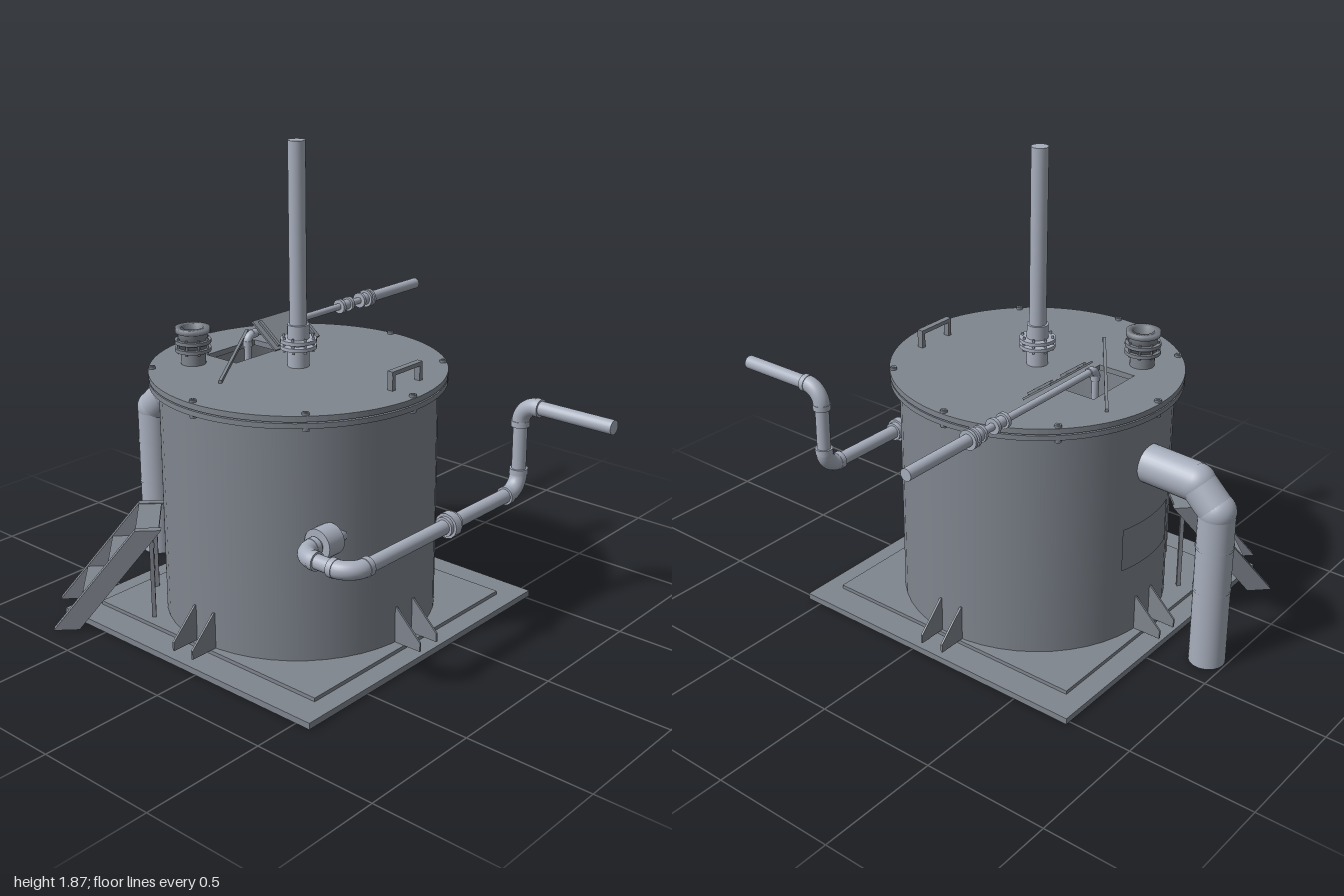
import * as THREE from 'three';

const paint = color => new THREE.MeshStandardMaterial({ color, side: THREE.DoubleSide });
const steel = paint(0x80868f), pipe = paint(0xa8afbd);
const V = (x, y, z) => new THREE.Vector3(x, y, z);
const UP = V(0, 1, 0);
const CX = -0.09, CZ = 0.14; // tank axis

// Groups carry the material used for their parts
function addGroup(parent, name, material, x = 0, z = 0) {
  const g = new THREE.Group();
  g.name = name;
  g.position.set(x, 0, z);
  g.userData.material = material;
  parent.add(g);
  return g;
}
function add(parent, name, geometry, x = 0, y = 0, z = 0) {
  const mesh = new THREE.Mesh(geometry, parent.userData.material);
  mesh.name = name;
  mesh.position.set(x, y, z);
  parent.add(mesh);
  return mesh;
}
const box = (p, name, w, h, d, x, y, z) => add(p, name, new THREE.BoxGeometry(w, h, d), x, y, z);

// Cylinder between two points
function rod(parent, name, a, b, r, open = false, sides = 24) {
  const dir = b.clone().sub(a);
  const mesh = add(parent, name, new THREE.CylinderGeometry(r, r, dir.length(), sides, 1, open));
  mesh.position.copy(a).add(b).multiplyScalar(0.5);
  mesh.quaternion.setFromUnitVectors(UP, dir.normalize());
}

// Straight pipe runs joined by thicker elbows with collars
function bentPipe(parent, name, points, r, elbowR, bend) {
  const toward = (a, b) => a.clone().lerp(b, Math.min(0.5, bend / a.distanceTo(b)));
  points.slice(1).forEach((p, i) => {
    const q = points[i];
    rod(parent, name, i ? toward(q, p) : q, i < points.length - 2 ? toward(p, q) : p, r);
  });
  for (let i = 1; i < points.length - 1; i++) {
    const p = points[i];
    const ends = [points[i - 1], points[i + 1]].map(q => q.clone().sub(p).normalize());
    const [a, b] = ends.map(d => p.clone().addScaledVector(d, bend));
    const curve = new THREE.CubicBezierCurve3(a, a.clone().lerp(p, 0.55), b.clone().lerp(p, 0.55), b);
    add(parent, name + 'Elbow', new THREE.TubeGeometry(curve, 16, elbowR, 24));
    [a, b].forEach((q, j) => rod(parent, name + 'Collar', q.clone().addScaledVector(ends[j], -0.008),
      q.clone().addScaledVector(ends[j], 0.015), elbowR * 1.06));
  }
}

// Flat plate lying in the xz plane
function plate(parent, name, shape, y, thickness) {
  const g = new THREE.ExtrudeGeometry(shape, { depth: thickness, bevelEnabled: false, curveSegments: 48 });
  return add(parent, name, g.rotateX(-Math.PI / 2), 0, y, 0);
}
const points2 = list => list.map(p => new THREE.Vector2(...p));
const rectangle = (x0, x1, z0, z1, Type = THREE.Shape) =>
  new Type(points2([[x0, -z0], [x1, -z0], [x1, -z1], [x0, -z1]]));
function circle(r, Type = THREE.Shape) {
  const s = new Type();
  s.absarc(0, 0, r, 0, Math.PI * 2);
  return s;
}
function withHole(shape, hole) {
  shape.holes.push(hole);
  return shape;
}

function buildTank(tank) {
  // Base frame, mounting plate and foot ring
  plate(tank, 'baseFrame', withHole(rectangle(-0.65, 0.653, -0.66, 0.672), rectangle(-0.53, 0.53, -0.51, 0.51, THREE.Path)), 0, 0.025);
  plate(tank, 'mountingPlate', withHole(rectangle(-0.565, 0.573, -0.545, 0.555), circle(0.495, THREE.Path)), 0.025, 0.015);
  plate(tank, 'footRing', withHole(circle(0.54), circle(0.495, THREE.Path)), 0.012, 0.015);

  // Floor segments leaving a central opening
  for (const turn of [0, Math.PI]) {
    const s = new THREE.Shape();
    s.absarc(0, 0, 0.5, 0.81, Math.PI - 0.81);
    plate(tank, 'floorSegment', s, 0.03, 0.008).rotation.y = turn;
  }

  // Shell, rim flange and lid with hatch opening
  add(tank, 'shell', new THREE.CylinderGeometry(0.533, 0.533, 0.95, 48, 1, true), 0, 0.505, 0);
  plate(tank, 'rimFlange', withHole(circle(0.57), circle(0.525, THREE.Path)), 0.963, 0.02);
  plate(tank, 'lid', withHole(circle(0.57), rectangle(-0.36, -0.2, -0.13, 0.135, THREE.Path)), 0.988, 0.022);
  for (let i = 0; i < 8; i++) {
    const a = i * Math.PI / 4, x = 0.555 * Math.cos(a), z = 0.555 * Math.sin(a);
    add(tank, 'lidBolt', new THREE.CylinderGeometry(0.007, 0.007, 0.07, 8), x, 0.987, z);
    for (const y of [0.957, 1.014]) add(tank, 'lidNut', new THREE.CylinderGeometry(0.014, 0.014, 0.012, 6), x, y, z);
  }

  // Paired gussets on four sides
  const profile = new THREE.Shape(points2([[0.525, 0.04], [0.648, 0.04], [0.648, 0.075], [0.535, 0.185], [0.525, 0.185]]));
  for (let i = 0; i < 4; i++) {
    const side = addGroup(tank, 'gussetPair', steel);
    side.rotation.y = i * Math.PI / 2;
    for (const z of [-0.05, 0.05])
      add(side, 'gusset', new THREE.ExtrudeGeometry(profile, { depth: 0.008, bevelEnabled: false }), 0, 0, z - 0.004);
  }

  // Curved access panel on the right wall
  add(tank, 'accessPanel', new THREE.CylinderGeometry(0.54, 0.54, 0.18, 10, 1, true, -Math.PI / 2 - 0.27, 0.57), 0, 0.43, 0);
}

// Pair of bolted flanges around a vertical pipe
function flangePair(parent, name, x, z, r, ys) {
  for (const y of ys) add(parent, name + 'Flange', new THREE.CylinderGeometry(r, r, 0.014, 24), x, y, z);
  for (let i = 0; i < 8; i++) {
    const a = (i + 0.5) * Math.PI / 4;
    add(parent, name + 'Bolt', new THREE.CylinderGeometry(0.005, 0.005, 0.06, 6), x + r * 0.85 * Math.cos(a), (ys[0] + ys[1]) / 2, z + r * 0.85 * Math.sin(a));
  }
}

function buildLidFittings(root) {
  // Filling nozzle
  rod(root, 'nozzlePipe', V(-0.415, 1.0, 0.38), V(-0.415, 1.085, 0.38), 0.048);
  const cup = [[0.04, 1.09], [0.04, 1.154], [0.067, 1.154], [0.067, 1.135], [0.056, 1.13], [0.056, 1.075], [0, 1.075]];
  add(root, 'nozzleCup', new THREE.LatheGeometry(points2(cup), 32), -0.415, 0, 0.38);
  flangePair(root, 'nozzle', -0.415, 0.38, 0.07, [1.068, 1.1]);

  // Tilted hatch door with two ribs
  const door = addGroup(root, 'hatchDoor', steel, -0.322, -0.04);
  door.position.y = 1.068;
  door.rotation.z = -0.65;
  box(door, 'doorPanel', 0.155, 0.008, 0.26, 0, 0, 0);
  for (const z of [-0.1, 0.1]) box(door, 'doorRib', 0.13, 0.01, 0.014, 0, 0.008, z);

  // Diagonal bar across the lid
  const bar = box(root, 'lidBar', 0.012, 0.012, 0.66, -0.355, 1.016, 0.22);
  bar.rotation.y = Math.atan2(0.39, 0.54);

  // Lifting handle
  box(root, 'handleGrip', 0.025, 0.016, 0.175, 0.36, 1.075, 0.055);
  for (const z of [-0.024, 0.134]) box(root, 'handleLeg', 0.025, 0.07, 0.016, 0.36, 1.04, z);
}

function buildVent(vent) {
  rod(vent, 'ventStack', V(CX, 1.0, CZ), V(CX, 1.87, CZ), 0.033);
  rod(vent, 'ventSleeve', V(CX, 1.0, CZ), V(CX, 1.175, CZ), 0.042);
  flangePair(vent, 'vent', CX, CZ, 0.07, [1.088, 1.113]);
}

// Feed line running out to the back, with couplings given as start, end, radius
function buildFeed(feed) {
  const x = -0.375, y = 1.07;
  bentPipe(feed, 'feedPipe', [V(x, 0.94, 0.125), V(x, y, 0.125), V(x, y, -0.6)], 0.014, 0.017, 0.03);
  rod(feed, 'feedMain', V(x, y, -0.62), V(x, y, -0.935), 0.023);
  for (const [z0, z1, r] of [[-0.42, -0.435, 0.03], [-0.435, -0.475, 0.021], [-0.475, -0.49, 0.03], [-0.55, -0.562, 0.032],
    [-0.562, -0.59, 0.026], [-0.59, -0.602, 0.037], [-0.61, -0.622, 0.037]])
    rod(feed, 'feedCoupling', V(x, y, z0), V(x, y, z1), r);
}

function buildStair(stair) {
  // Sloping stringers, back posts and treads
  const outline = new THREE.Shape(points2([[0.02, 0], [-0.08, 0], [-0.41, 0.41], [-0.31, 0.41]]));
  for (const s of [-1, 1]) {
    const g = new THREE.ExtrudeGeometry(outline, { depth: 0.03, bevelEnabled: false });
    add(stair, 'stringer', g.rotateY(-Math.PI / 2), s * 0.134 + 0.015, 0, 0);
    box(stair, 'stairPost', 0.016, 0.38, 0.016, s * 0.134, 0.2, -0.37);
  }
  for (const [y, z] of [[0.135, -0.14], [0.265, -0.245], [0.4, -0.355]]) box(stair, 'tread', 0.25, 0.014, 0.09, 0, y, z);
}

// Outlet pipe wrapping round the left side
function buildOutlet(outlet) {
  bentPipe(outlet, 'outletPipe', [V(0.35, 0.53, 0.4), V(0.35, 0.53, 0.63), V(0.595, 0.53, 0.63), V(0.595, 0.53, -0.36),
    V(0.595, 0.882, -0.36), V(1, 0.882, -0.36)], 0.028, 0.034, 0.075);
  rod(outlet, 'wallSocket', V(0.35, 0.53, 0.45), V(0.35, 0.53, 0.53), 0.06);
  rod(outlet, 'unionBody', V(0.595, 0.53, 0.045), V(0.595, 0.53, 0.115), 0.038);
  rod(outlet, 'unionNut', V(0.595, 0.53, 0.065), V(0.595, 0.53, 0.1), 0.049, false, 12);
}

// Mitred exhaust duct down the right side
function buildDuct(duct) {
  const path = [V(-0.6, 0.75, CZ), V(-0.83, 0.74, CZ), V(-0.922, 0.65, CZ), V(-0.922, 0, CZ)];
  path.slice(1).forEach((p, i) => {
    rod(duct, 'ductSection', path[i], p, i === 0 ? 0.076 : 0.071, true, 32);
    if (i < 2) add(duct, 'ductJoint', new THREE.SphereGeometry(0.073, 32, 20), p.x, p.y, p.z);
  });
  for (const y of [0.32, 0.5]) rod(duct, 'ductBand', V(-0.922, y, CZ), V(-0.922, y + 0.012, CZ), 0.074, true, 32);
}

export function createModel() {
  const root = new THREE.Group();
  root.name = 'processTank';
  buildTank(addGroup(root, 'tank', steel, CX, CZ));
  buildLidFittings(addGroup(root, 'lidFittings', steel));
  const stair = addGroup(root, 'stair', steel, -0.755, 0.815);
  stair.rotation.y = -Math.PI / 4;
  buildStair(stair);
  buildVent(addGroup(root, 'vent', pipe));
  buildFeed(addGroup(root, 'feed', pipe));
  buildOutlet(addGroup(root, 'outlet', pipe));
  buildDuct(addGroup(root, 'duct', pipe));
  return root;
}
